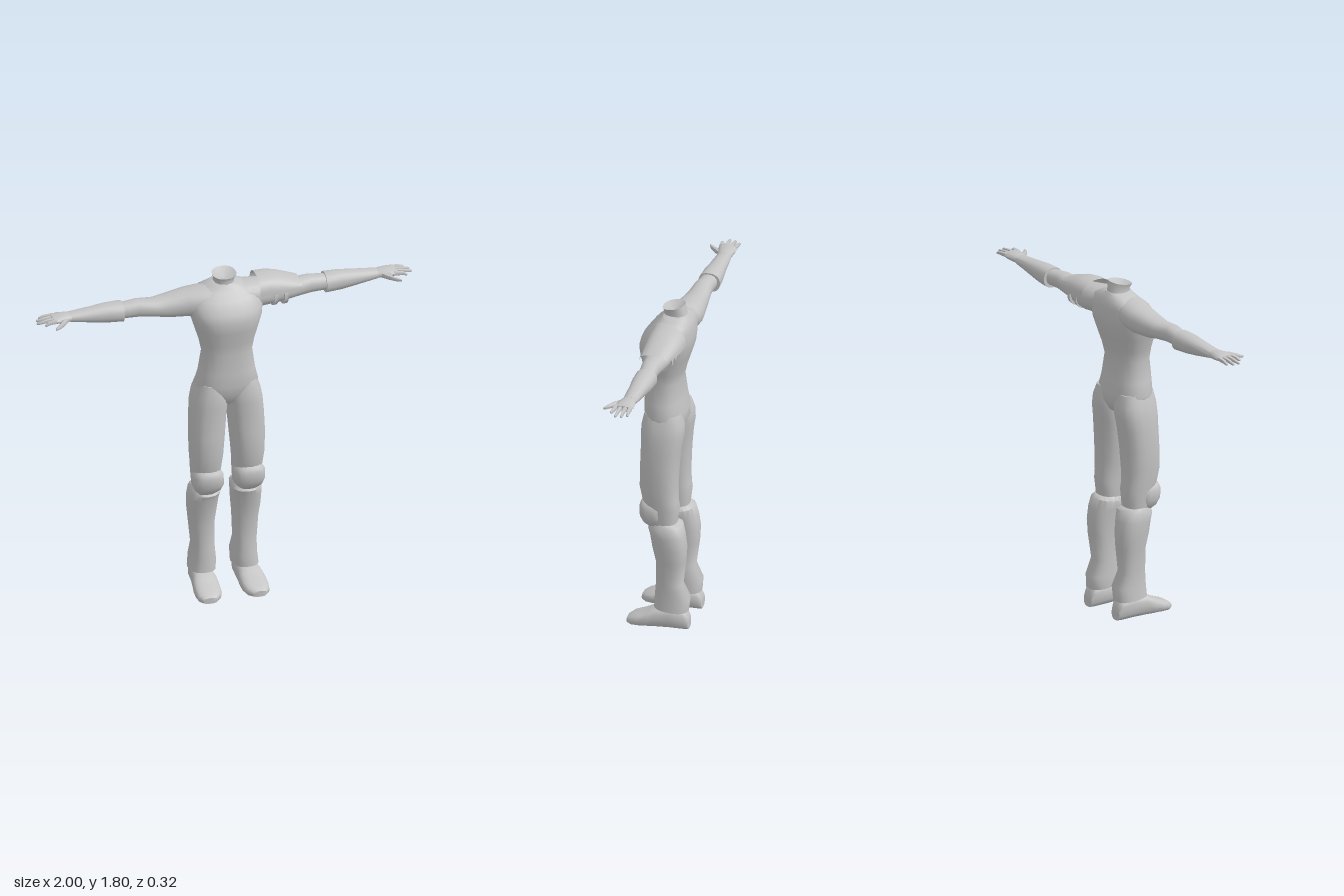
import * as THREE from 'three';
import { toCreasedNormals } from 'three/addons/utils/BufferGeometryUtils.js';

const clay = new THREE.MeshStandardMaterial({ color: 0xc4c4c4, side: THREE.DoubleSide });
clay.name = 'clay grey';

// Lofts oval cross-sections [t, uMin, uMax, vMin, vMax, tilt] along an axis.
// Axis x: u = y, v = z.  Axis y: u = z, v = x.  Axis z: u = x, v = y.
function loft(name, axis, sections, { side = 1, n = 2.3, sides = 18, arc = 0, caps = true, dip = 0, crease = 0.85 } = {}) {
  const pos = [], index = [];
  const row = sides + 1;
  const put = (t, u, v) => {
    const p = axis === 'x' ? [t, u, v] : axis === 'y' ? [v, t, u] : [u, v, t];
    pos.push(p[0] * side, p[1], p[2]);
  };
  const tri = (a, b, c) => (side > 0 ? index.push(a, b, c) : index.push(a, c, b));
  const bend = (k) => Math.sign(k) * Math.pow(Math.abs(k), 2 / n);
  for (const [t, u0, u1, v0, v1, tilt = 0] of sections) {
    for (let j = 0; j <= sides; j++) {
      const a = arc ? -arc + (2 * arc * j) / sides : (j % sides) / sides * Math.PI * 2;
      const c = bend(Math.cos(a)), s = bend(Math.sin(a));
      put(t + tilt * c, (u0 + u1) / 2 + (u1 - u0) / 2 * c, (v0 + v1) / 2 + (v1 - v0) / 2 * s);
    }
  }
  for (let i = 0; i < sections.length - 1; i++) {
    for (let j = 0; j < sides; j++) {
      const a = i * row + j, b = a + 1, c = a + row, d = c + 1;
      tri(a, b, c);
      tri(b, d, c);
    }
  }
  if (caps && !arc) {
    const last = sections.length - 1;
    for (const i of [0, last]) {
      const [t, u0, u1, v0, v1] = sections[i];
      const centre = pos.length / 3;
      put(i ? t - dip : t, (u0 + u1) / 2, (v0 + v1) / 2);
      for (let j = 0; j < sides; j++) {
        const a = i * row + j;
        i ? tri(centre, a, a + 1) : tri(centre, a + 1, a);
      }
    }
  }
  const g = new THREE.BufferGeometry();
  g.setAttribute('position', new THREE.Float32BufferAttribute(pos, 3));
  g.setIndex(index);
  const mesh = new THREE.Mesh(toCreasedNormals(g, crease), clay);
  mesh.name = name;
  return mesh;
}

function createArm(side) {
  const arm = new THREE.Group();
  arm.name = side > 0 ? 'leftArm' : 'rightArm';
  const add = (name, s, o = {}) => arm.add(loft(name, 'x', s, { side, ...o }));

  add('upperArm', [
    [0.08, 1.60, 1.735, -0.12, 0.05], [0.14, 1.585, 1.73, -0.135, 0.05],
    [0.20, 1.58, 1.722, -0.135, 0.03], [0.30, 1.585, 1.706, -0.12, 0.015],
    [0.37, 1.60, 1.693, -0.11, 0.008], [0.46, 1.61, 1.702, -0.10, -0.003],
    [0.51, 1.61, 1.695, -0.10, -0.008], [0.57, 1.61, 1.69, -0.10, -0.01],
  ]);
  add('forearmSleeve', [
    [0.54, 1.594, 1.70, -0.115, 0], [0.62, 1.60, 1.70, -0.11, -0.002],
    [0.70, 1.612, 1.692, -0.10, -0.01], [0.82, 1.635, 1.68, -0.09, -0.016],
  ]);
  add('hand', [
    [0.80, 1.638, 1.678, -0.087, -0.02], [0.84, 1.638, 1.682, -0.092, -0.01],
    [0.88, 1.642, 1.682, -0.097, 0], [0.915, 1.648, 1.675, -0.095, 0.002],
  ], { sides: 12 });
  // Four fingers, then the thumb pointing forward
  for (const [z, tipZ, tip] of [[-0.083, -0.087, 0.975], [-0.059, -0.06, 0.995], [-0.034, -0.03, 1.0], [-0.01, 0.002, 0.965]]) {
    const m = (z + tipZ) / 2;
    add('finger', [
      [0.90, 1.651, 1.675, z - 0.012, z + 0.012], [0.945, 1.651, 1.671, m - 0.01, m + 0.01],
      [tip - 0.006, 1.648, 1.662, tipZ - 0.007, tipZ + 0.007], [tip, 1.651, 1.658, tipZ - 0.003, tipZ + 0.003],
    ], { sides: 8 });
  }
  add('thumb', [
    [0.835, 1.643, 1.672, -0.04, -0.01], [0.865, 1.641, 1.67, -0.02, 0.022],
    [0.895, 1.641, 1.663, 0.018, 0.045], [0.92, 1.643, 1.657, 0.042, 0.057],
  ], { sides: 8 });
  return arm;
}

function createLeg(side) {
  const leg = new THREE.Group();
  leg.name = side > 0 ? 'leftLeg' : 'rightLeg';
  const add = (name, axis, s, o = {}) => leg.add(loft(name, axis, s, { side, ...o }));

  add('thigh', 'y', [
    [0.52, -0.085, 0.03, 0.05, 0.165], [0.62, -0.09, 0.06, 0.04, 0.178],
    [0.68, -0.098, 0.08, 0.037, 0.183], [0.72, -0.092, 0.09, 0.034, 0.187],
    [0.80, -0.09, 0.106, 0.026, 0.195], [0.92, -0.095, 0.104, 0.015, 0.198],
    [1.02, -0.105, 0.102, 0.007, 0.194], [1.09, -0.117, 0.104, 0.0, 0.188],
    [1.15, -0.118, 0.103, 0, 0.176], [1.21, -0.10, 0.09, 0.02, 0.155],
  ], { n: 2.5 });
  add('kneePad', 'y', [
    [0.57, 0, 0.05, 0.075, 0.15], [0.60, -0.02, 0.085, 0.042, 0.178],
    [0.635, -0.03, 0.104, 0.028, 0.19], [0.685, -0.03, 0.106, 0.03, 0.19],
    [0.705, -0.02, 0.10, 0.042, 0.18], [0.722, 0, 0.085, 0.06, 0.165],
  ], { n: 2.8 });
  add('shinGuard', 'y', [
    [0.105, -0.15, 0.03, 0.045, 0.184, 0.006], [0.17, -0.157, 0.028, 0.043, 0.177],
    [0.25, -0.12, 0.021, 0.052, 0.172], [0.38, -0.136, 0.02, 0.05, 0.183],
    [0.46, -0.14, 0.038, 0.042, 0.192], [0.53, -0.13, 0.05, 0.035, 0.194],
    [0.575, -0.115, 0.062, 0.028, 0.19, -0.012], [0.60, -0.09, 0.035, 0.045, 0.175],
  ], { n: 2.4 });
  add('shoe', 'z', [
    [-0.155, 0.085, 0.15, 0, 0.07], [-0.135, 0.07, 0.163, 0, 0.105],
    [-0.06, 0.062, 0.172, 0, 0.12], [0.01, 0.058, 0.184, 0, 0.112],
    [0.05, 0.054, 0.192, 0, 0.09], [0.10, 0.056, 0.195, 0, 0.066],
    [0.14, 0.068, 0.19, 0, 0.052], [0.165, 0.095, 0.168, 0.004, 0.036],
  ], { n: 2.8 });
  return leg;
}

export function createModel() {
  const model = new THREE.Group();
  model.name = 'headlessFigure';

  // Body from crotch to collar
  model.add(loft('torso', 'y', [
    [1.065, -0.04, 0.03, -0.03, 0.03], [1.10, -0.09, 0.075, -0.09, 0.09],
    [1.15, -0.112, 0.098, -0.158, 0.158], [1.20, -0.11, 0.105, -0.165, 0.165],
    [1.27, -0.098, 0.106, -0.147, 0.147], [1.38, -0.085, 0.10, -0.131, 0.131],
    [1.44, -0.098, 0.108, -0.143, 0.143], [1.515, -0.122, 0.124, -0.166, 0.166],
    [1.575, -0.14, 0.132, -0.184, 0.184], [1.62, -0.145, 0.12, -0.19, 0.19],
    [1.68, -0.142, 0.075, -0.185, 0.185], [1.715, -0.134, 0.04, -0.15, 0.15],
    [1.738, -0.118, 0.02, -0.085, 0.085], [1.75, -0.11, 0.012, -0.06, 0.06],
  ], { sides: 24, n: 2.4 }));
  // Neck with a slanted, hollowed top
  model.add(loft('neck', 'y', [
    [1.725, -0.115, 0.02, -0.06, 0.06], [1.76, -0.104, 0.01, -0.051, 0.051],
    [1.793, -0.095, 0.02, -0.063, 0.063, -0.01],
  ], { dip: 0.03 }));

  for (const side of [-1, 1]) model.add(createArm(side), createLeg(side));

  // Single shoulder guard with its two straps
  const guard = new THREE.Group();
  guard.name = 'shoulderGuard';
  guard.add(loft('guardPlate', 'x', [
    [0.172, 1.585, 1.752, -0.155, 0.042], [0.23, 1.585, 1.752, -0.155, 0.04],
    [0.29, 1.59, 1.742, -0.148, 0.034], [0.40, 1.635, 1.703, -0.122, 0.026],
  ], { arc: 1.6, n: 2.4 }));
  for (const x of [0.25, 0.305]) {
    guard.add(loft('strap', 'x', [
      [x, 1.573, 1.70, -0.13, 0.027], [x + 0.021, 1.575, 1.70, -0.128, 0.025],
    ]));
  }
  model.add(guard);
  return model;
}
